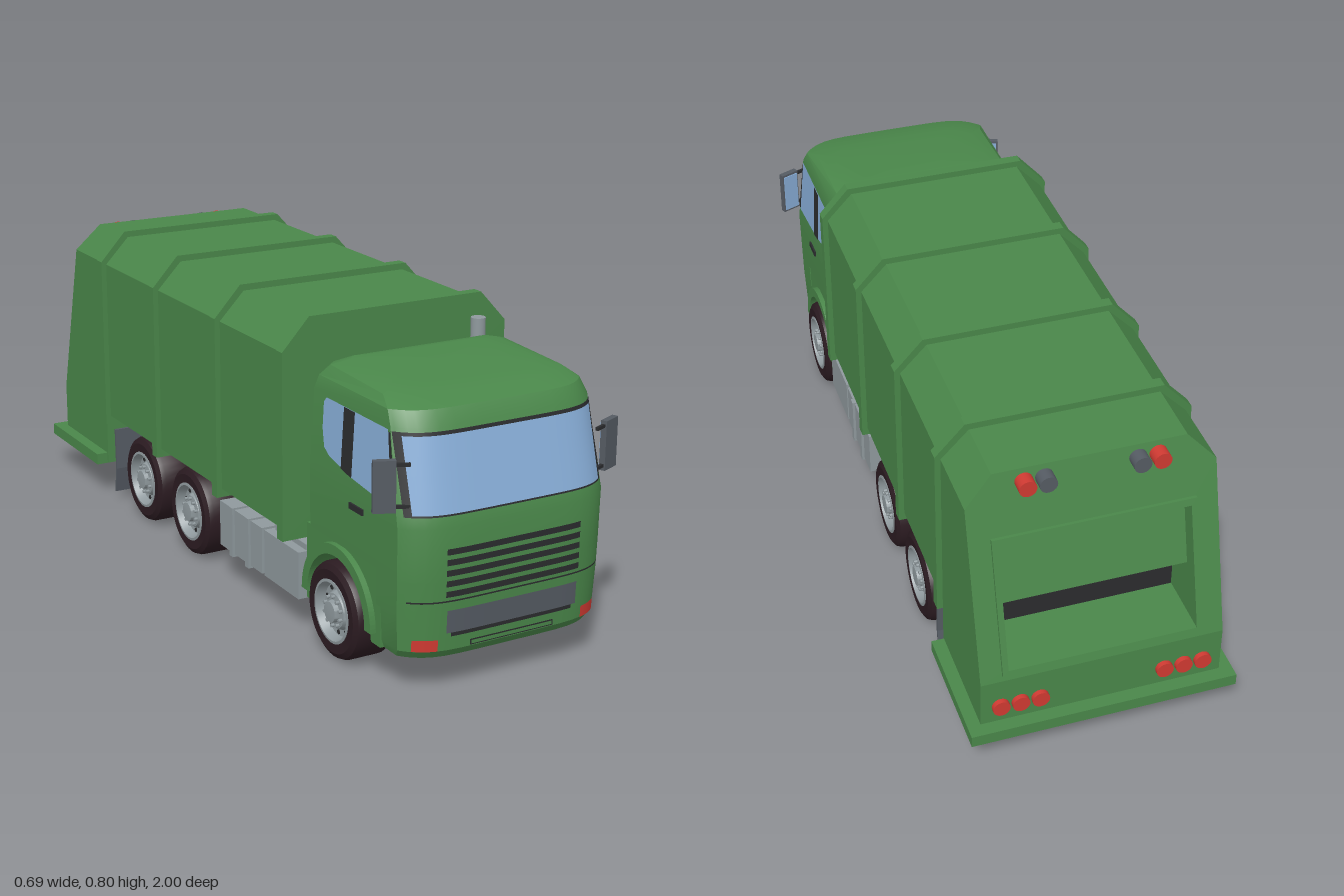
import * as THREE from 'three';
import { toCreasedNormals } from 'three/addons/utils/BufferGeometryUtils.js';

const mat = (name, color, side = THREE.FrontSide) => {
  const m = new THREE.MeshStandardMaterial({ color, side });
  m.name = name;
  return m;
};

export function createModel() {
  const truck = new THREE.Group();
  truck.name = 'refuseTruck';
  const green = mat('green paint', 0x4a874a);
  const glass = mat('window glass', 0x88aed8, THREE.DoubleSide);
  const dark = mat('dark trim', 0x2b2c2e, THREE.DoubleSide);
  const steel = mat('light steel', 0x8f999d);
  const slate = mat('slate grey', 0x555b63, THREE.DoubleSide);
  const rubber = mat('tyre rubber', 0x2b1b21);
  const red = mat('red lamp', 0xd03a32);

  const add = (name, geo, m, parent = truck) => {
    const mesh = new THREE.Mesh(geo, m);
    mesh.name = name;
    parent.add(mesh);
    return mesh;
  };
  // box from its limits
  const box = (name, x0, x1, y0, y1, z0, z1, m) => add(name,
    new THREE.BoxGeometry(x1 - x0, y1 - y0, z1 - z0).translate((x0 + x1) / 2, (y0 + y1) / 2, (z0 + z1) / 2), m);
  const poly = pts => new THREE.Shape(pts.map(p => new THREE.Vector2(...p)));
  const extrude = (shape, depth) => new THREE.ExtrudeGeometry(shape, { depth, bevelEnabled: false, curveSegments: 24 });
  // profile drawn in (z, y), extruded across x and centred
  const sideExtrude = (shape, depth) => extrude(shape, depth).translate(0, 0, -depth / 2).rotateY(-Math.PI / 2);

  // ---- cab: stacked plan outlines [y front, y back, z front, z back, half width]
  const BULGE = 0.06;
  const rings = [
    [0.29, 0.29, 0.994, 0.51, 0.285], [0.42, 0.42, 0.995, 0.51, 0.287], [0.445, 0.445, 0.988, 0.51, 0.286],
    [0.645, 0.645, 0.940, 0.51, 0.275], [0.68, 0.68, 0.915, 0.522, 0.268], [0.697, 0.708, 0.865, 0.545, 0.25],
    [0.705, 0.723, 0.82, 0.57, 0.21], [0.71, 0.725, 0.78, 0.59, 0.15]];
  const bumperRings = [
    [0.095, 0.095, 0.975, 0.82, 0.272], [0.115, 0.115, 0.988, 0.82, 0.279], [0.22, 0.22, 0.992, 0.82, 0.284],
    [0.29, 0.29, 0.994, 0.82, 0.285]];
  const half = [0.25, 0.5, 0.65, 0.75, 0.83, 0.9, 0.95, 0.98, 1];
  const across = [...half.map(t => -t).reverse(), 0, ...half];
  const outline = ([yf, yb, zf, zb, w]) => {
    const r = 0.02;
    const plan = across.map(t => [t * w, zf - BULGE * t ** 6]);
    plan.push([w, zb + r], [w - r, zb], [r - w, zb], [-w, zb + r]);
    return plan.map(([x, z]) => [x, yb + (yf - yb) * (z - zb) / (zf - zb), z]);
  };
  const loft = list => {
    const pos = [], idx = [], n = across.length + 4;
    list.forEach(r => outline(r).forEach(p => pos.push(...p)));
    for (let i = 0; i < list.length - 1; i++) for (let j = 0; j < n; j++) {
      const a = i * n + j, b = i * n + (j + 1) % n;
      idx.push(a, b, b + n, a, b + n, a + n);
    }
    const mid = ([yf, yb, zf, zb]) => [0, (yf + yb) / 2, (zf + zb) / 2];
    pos.push(...mid(list[0]), ...mid(list[list.length - 1]));
    const low = list.length * n, top = (list.length - 1) * n;
    for (let j = 0; j < n; j++) {
      const k = (j + 1) % n;
      idx.push(k, j, low, top + j, top + k, low + 1);
    }
    const g = new THREE.BufferGeometry();
    g.setAttribute('position', new THREE.Float32BufferAttribute(pos, 3));
    g.setIndex(idx);
    return toCreasedNormals(g, 0.5);
  };
  add('cabShell', loft(rings), green);
  add('cabBumper', loft(bumperRings), green);

  // front and half width of the cab skin at a height
  const skin = [...bumperRings.slice(0, 3), ...rings];
  const skinAt = y => {
    let i = 0;
    while (i < skin.length - 2 && skin[i + 1][0] < y) i++;
    const a = skin[i], b = skin[i + 1], t = (y - a[0]) / (b[0] - a[0]);
    return { zf: a[2] + (b[2] - a[2]) * t, w: a[4] + (b[4] - a[4]) * t };
  };
  // thin plate wrapped on the cab front
  const frontPlate = (name, x0, x1, y0, y1, off, m) => {
    const g = new THREE.PlaneGeometry(x1 - x0, y1 - y0, 40, 4).translate((x0 + x1) / 2, (y0 + y1) / 2, 0);
    const p = g.attributes.position;
    for (let i = 0; i < p.count; i++) {
      const { zf, w } = skinAt(p.getY(i));
      p.setZ(i, zf - BULGE * Math.min(1, Math.abs(p.getX(i)) / w) ** 6 + off);
    }
    g.computeVertexNormals();
    add(name, g, m);
  };
  // thin plate laid on a cab side, drawn in (z, y)
  const sidePlate = (name, pts, s, off, m) => {
    const g = new THREE.ShapeGeometry(poly(pts)), p = g.attributes.position;
    for (let i = 0; i < p.count; i++) {
      const z = p.getX(i), y = p.getY(i);
      p.setXYZ(i, s * (skinAt(y).w + off), y, z);
    }
    if (s > 0) g.setIndex([...g.index.array].reverse());
    g.computeVertexNormals();
    add(name, g, m);
  };
  frontPlate('windscreenFrame', -0.275, 0.275, 0.447, 0.636, 0.002, dark);
  frontPlate('windscreen', -0.261, 0.261, 0.452, 0.628, 0.004, glass);
  for (let i = 0; i < 5; i++) frontPlate('grilleSlot', -0.187, 0.187, 0.25 + i * 0.0262, 0.265 + i * 0.0262, 0.002, dark);
  frontPlate('bumperSeam', -0.27, 0.27, 0.238, 0.242, 0.002, dark);
  frontPlate('bumperPanelEdge', -0.17, 0.17, 0.15, 0.163, 0.002, dark);
  frontPlate('bumperPanel', -0.183, 0.183, 0.16, 0.217, 0.003, slate);
  frontPlate('bumperSlotEdge', -0.118, 0.118, 0.118, 0.133, 0.002, dark);
  frontPlate('bumperSlot', -0.114, 0.114, 0.121, 0.130, 0.003, green);

  // lower cab sides with the wheel arch cut out
  const WHEEL_Y = 0.125, FRONT_Z = 0.675;
  const lower = poly([[0.51, 0.095], [FRONT_Z - 0.143, 0.095], [FRONT_Z - 0.14, WHEEL_Y]]);
  lower.absarc(FRONT_Z, WHEEL_Y, 0.14, Math.PI, 0, true);
  [[FRONT_Z + 0.143, 0.095], [0.86, 0.095], [0.86, 0.295], [0.51, 0.295]].forEach(p => lower.lineTo(...p));
  add('cabLowerSides', sideExtrude(lower, 0.566), green);
  const arch = new THREE.Shape();
  arch.absarc(0, 0, 0.165, 0, Math.PI, false);
  arch.absarc(0, 0, 0.138, Math.PI, 0, true);

  // ---- wheel: tyre, dished rim and a ring of bolts, facing +x
  const lathe = pts => toCreasedNormals(new THREE.LatheGeometry(pts.map(p => new THREE.Vector2(...p)), 40), 0.6).rotateZ(-Math.PI / 2);
  const tyreGeo = lathe([[0, -0.06], [0.105, -0.06], [0.118, -0.052], [0.123, -0.04], [0.123, 0.04], [0.118, 0.052],
    [0.105, 0.06], [0.08, 0.058], [0.074, 0.03], [0, 0.03]]);
  const rimGeo = lathe([[0.076, 0.03], [0.081, 0.06], [0.074, 0.061], [0.066, 0.038], [0.05, 0.036], [0.044, 0.05],
    [0.028, 0.052], [0.026, 0.064], [0, 0.066]].reverse().map(([r, h]) => [r, h]).reverse());
  const boltGeo = new THREE.CylinderGeometry(0.0045, 0.0045, 0.012, 8).rotateZ(Math.PI / 2);
  const ventGeo = new THREE.CylinderGeometry(0.006, 0.006, 0.004, 10).rotateZ(Math.PI / 2);
  const wheel = (s, z) => {
    const g = new THREE.Group();
    g.name = 'wheel';
    add('tyre', tyreGeo, rubber, g);
    add('rim', rimGeo, steel, g);
    for (let i = 0; i < 10; i++) {
      const a = i * Math.PI / 5, c = Math.cos(a), d = Math.sin(a);
      add('wheelBolt', boltGeo, steel, g).position.set(0.054, c * 0.037, d * 0.037);
      add('rimVent', ventGeo, dark, g).position.set(0.037, c * 0.058, d * 0.058);
    }
    g.position.set(s * 0.25, 0.123, z);
    if (s < 0) g.rotation.y = Math.PI;
    truck.add(g);
  };
  const AXLES = [FRONT_Z, -0.11, -0.41];

  // ---- parts repeated on both sides
  for (const s of [1, -1]) {
    const sx = (a, b) => s > 0 ? [a, b] : [-b, -a];
    AXLES.forEach(z => wheel(s, z));
    add('wheelArchLip', sideExtrude(arch, 0.025).translate(s * 0.286, WHEEL_Y, FRONT_Z), green);
    sidePlate('frontPillar', [[0.925, 0.46], [0.905, 0.458], [0.872, 0.632], [0.882, 0.632]], s, 0.001, dark);
    sidePlate('sideWindow', [[0.908, 0.458], [0.72, 0.478], [0.62, 0.5], [0.595, 0.515], [0.583, 0.56], [0.583, 0.625],
      [0.595, 0.638], [0.874, 0.638]], s, 0.002, glass);
    sidePlate('doorPillar', [[0.73, 0.477], [0.68, 0.487], [0.68, 0.638], [0.73, 0.638]], s, 0.004, dark);
    box('doorHandle', ...sx(0.28, 0.292), 0.402, 0.417, 0.725, 0.785, dark);
    frontPlate('headlamp', ...sx(0.203, 0.258), 0.117, 0.146, 0.004, red);

    // mirror on its arms, glass on the rear face
    const mirror = new THREE.Group();
    mirror.name = 'mirror';
    add('mirrorHousing', new THREE.BoxGeometry(0.054, 0.125, 0.016), slate, mirror);
    add('mirrorGlass', new THREE.BoxGeometry(0.046, 0.112, 0.004), glass, mirror).position.z = -0.009;
    for (const y of [-0.05, 0.05]) add('mirrorArm', new THREE.BoxGeometry(0.05, 0.008, 0.008), dark, mirror).position.set(-s * 0.035, y, 0);
    mirror.position.set(s * 0.315, 0.522, 0.92);
    mirror.rotation.y = s * 0.4;
    truck.add(mirror);

    // tanks with raised straps
    box('frontTank', ...sx(0.1, 0.305), 0.09, 0.215, 0.325, 0.505, steel);
    box('rearTank', ...sx(0.1, 0.305), 0.09, 0.215, 0.075, 0.312, steel);
    for (const z of [0.15, 0.24]) box('tankStrap', ...sx(0.098, 0.312), 0.083, 0.22, z - 0.01, z + 0.01, steel);
    box('tankLid', ...sx(0.13, 0.28), 0.215, 0.23, 0.34, 0.5, steel);

    box('chassisRail', ...sx(0.085, 0.115), 0.165, 0.25, -0.64, 0.75, dark);
    const flap = poly([[-0.595, 0.22], [-0.592, 0.1], [-0.605, 0.025], [-0.611, 0.025], [-0.6, 0.1], [-0.603, 0.22]]);
    add('mudFlap', sideExtrude(flap, 0.145).translate(s * 0.237, 0, 0), slate);

    // rear lamps
    const lamp = (name, x, y, z, r, d, m) => add(name, new THREE.CylinderGeometry(r, r, d, 20).rotateX(Math.PI / 2).translate(s * x, y, z), m);
    [0.16, 0.21, 0.26].forEach(x => lamp('tailLamp', x, 0.18, -0.968, 0.022, 0.02, red));
    lamp('upperRedLamp', 0.165, 0.755, -0.85, 0.022, 0.035, red);
    lamp('upperWorkLamp', 0.115, 0.755, -0.85, 0.022, 0.035, slate);
  }

  // ---- chassis
  box('bodyFloor', -0.28, 0.28, 0.235, 0.258, -0.64, 0.43, dark);
  [0.3, 0.1, -0.26, -0.56].forEach(z => box('crossMember', -0.09, 0.09, 0.18, 0.225, z - 0.02, z + 0.02, dark));
  AXLES.forEach(z => add('axle', new THREE.CylinderGeometry(0.02, 0.02, 0.42, 14).rotateZ(Math.PI / 2).translate(0, 0.125, z), dark));
  add('driveShaft', new THREE.CylinderGeometry(0.014, 0.014, 0.85, 12).rotateX(Math.PI / 2).translate(0, 0.15, 0.02), dark);
  add('exhaustStack', new THREE.CylinderGeometry(0.019, 0.019, 0.64, 24).translate(0.225, 0.425, 0.487), steel);

  // ---- refuse body: chamfered section with ribs
  const section = (w, y0, yc, wt, yt) => poly([[-w, y0], [w, y0], [w, yc], [wt, yt], [-wt, yt], [-w, yc]]);
  add('body', extrude(section(0.31, 0.255, 0.712, 0.24, 0.785), 1.1).translate(0, 0, -0.655), green);
  [0.445, 0.083, -0.29, -0.64].forEach(z =>
    add('bodyRib', extrude(section(0.325, 0.232, 0.72, 0.25, 0.802), 0.03).translate(0, 0, z - 0.015), green));

  // ---- tail hopper with a sloping rear face and an open mouth
  const rearZ = y => -0.965 + (y - 0.26) * 0.267;
  const tail = section(0.31, 0.26, 0.712, 0.24, 0.785);
  tail.holes.push(new THREE.Path([[-0.24, 0.29], [-0.24, 0.61], [0.24, 0.61], [0.24, 0.29]].map(p => new THREE.Vector2(...p))));
  const slope = (g, zFront, inset = 0) => {
    const p = g.attributes.position;
    for (let i = 0; i < p.count; i++) p.setZ(i, p.getZ(i) > 0.5 ? zFront : rearZ(p.getY(i)) + inset);
    g.computeVertexNormals();
    return g;
  };
  add('hopper', slope(extrude(tail, 1), -0.655), green);
  box('hopperBase', -0.31, 0.31, 0.1, 0.26, -0.965, -0.655, green);
  box('hopperStep', -0.343, 0.343, 0.098, 0.13, -1, -0.66, green);
  const rect = (w, y0, y1) => poly([[-w, y0], [w, y0], [w, y1], [-w, y1]]);
  add('hopperBlade', slope(extrude(rect(0.24, 0.43, 0.612), 1), -0.8, 0.04), green);
  box('hopperInterior', -0.239, 0.239, 0.291, 0.45, -0.8, -0.66, dark);
  const rim = rect(0.255, 0.275, 0.628);
  rim.holes.push(new THREE.Path([[-0.24, 0.29], [-0.24, 0.61], [0.24, 0.61], [0.24, 0.29]].map(p => new THREE.Vector2(...p))));
  add('mouthRim', slope(extrude(rim, 1), -0.84, -0.008), green);
  return truck;
}
